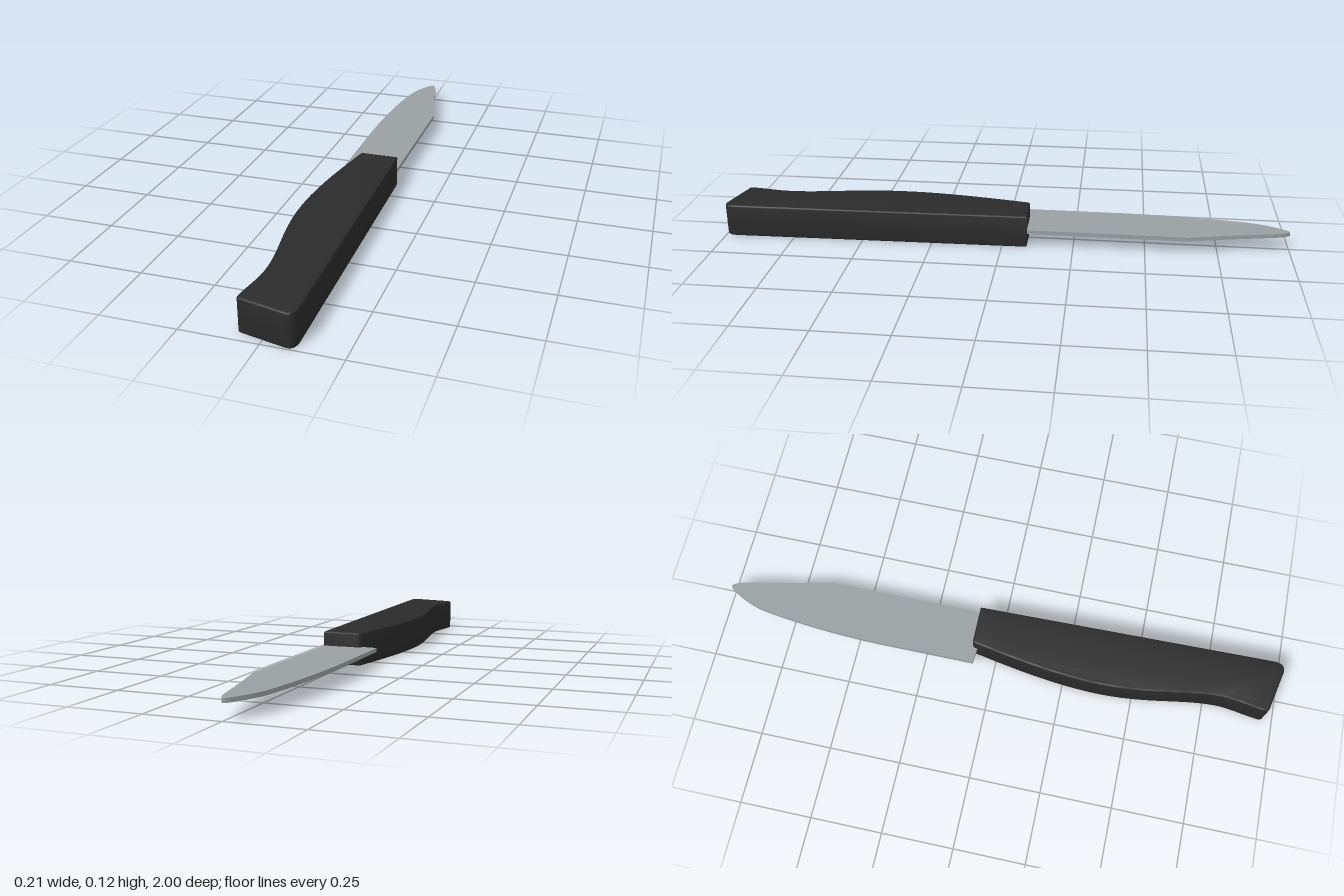
import * as THREE from 'three';
import { toCreasedNormals } from 'three/addons/utils/BufferGeometryUtils.js';

// Extrudes an outline drawn as (x, -z) upward from y0 to y1, with rounded rims.
function slab(name, shape, y0, y1, bevel, material) {
  let geometry = new THREE.ExtrudeGeometry(shape, {
    depth: y1 - y0 - 2 * bevel,
    curveSegments: 12,
    bevelEnabled: bevel > 0,
    bevelThickness: bevel,
    bevelSize: bevel,
    bevelOffset: -bevel,
    bevelSegments: 3,
  });
  geometry.rotateX(-Math.PI / 2);
  geometry.translate(0, y0 + bevel, 0);
  geometry = toCreasedNormals(geometry, 0.6);
  const mesh = new THREE.Mesh(geometry, material);
  mesh.name = name;
  return mesh;
}

export function createModel() {
  const handleBlack = new THREE.MeshStandardMaterial({ color: 0x2b2b2b });
  handleBlack.name = 'handle black';
  const bladeSteel = new THREE.MeshStandardMaterial({ color: 0x9aa0a2 });
  bladeSteel.name = 'blade steel';

  // Handle: straight back, swelling belly and a slanted butt with rounded corners
  const grip = new THREE.Shape();
  grip.moveTo(0.087, 0.088);
  grip.lineTo(-0.04, 0.088);
  grip.quadraticCurveTo(-0.049, 0.088, -0.051, 0.078);
  grip.bezierCurveTo(-0.075, -0.05, -0.108, -0.22, -0.108, -0.38);
  grip.bezierCurveTo(-0.108, -0.56, -0.062, -0.68, -0.062, -0.8);
  grip.bezierCurveTo(-0.062, -0.85, -0.076, -0.9, -0.081, -0.952);
  grip.quadraticCurveTo(-0.081, -0.963, -0.07, -0.966);
  grip.lineTo(0.07, -0.997);
  grip.quadraticCurveTo(0.105, -1.005, 0.106, -0.96);
  grip.closePath();

  // Blade: gently curved edge, straight spine clipped toward the tip
  const steel = new THREE.Shape();
  steel.moveTo(0.086, 0.07);
  steel.lineTo(0.086, 0.645);
  steel.lineTo(0.05, 0.8);
  steel.lineTo(0.019, 0.955);
  steel.quadraticCurveTo(0.009, 0.992, -0.003, 1);
  steel.quadraticCurveTo(-0.013, 0.998, -0.022, 0.98);
  steel.quadraticCurveTo(-0.06, 0.92, -0.072, 0.85);
  steel.bezierCurveTo(-0.09, 0.74, -0.104, 0.58, -0.106, 0.43);
  steel.lineTo(-0.106, 0.076);
  steel.lineTo(-0.04, 0.07);
  steel.closePath();

  const group = new THREE.Group();
  group.name = 'knife';
  group.add(slab('handle', grip, 0, 0.116, 0.006, handleBlack));
  group.add(slab('blade', steel, 0.051, 0.065, 0, bladeSteel));
  return group;
}
